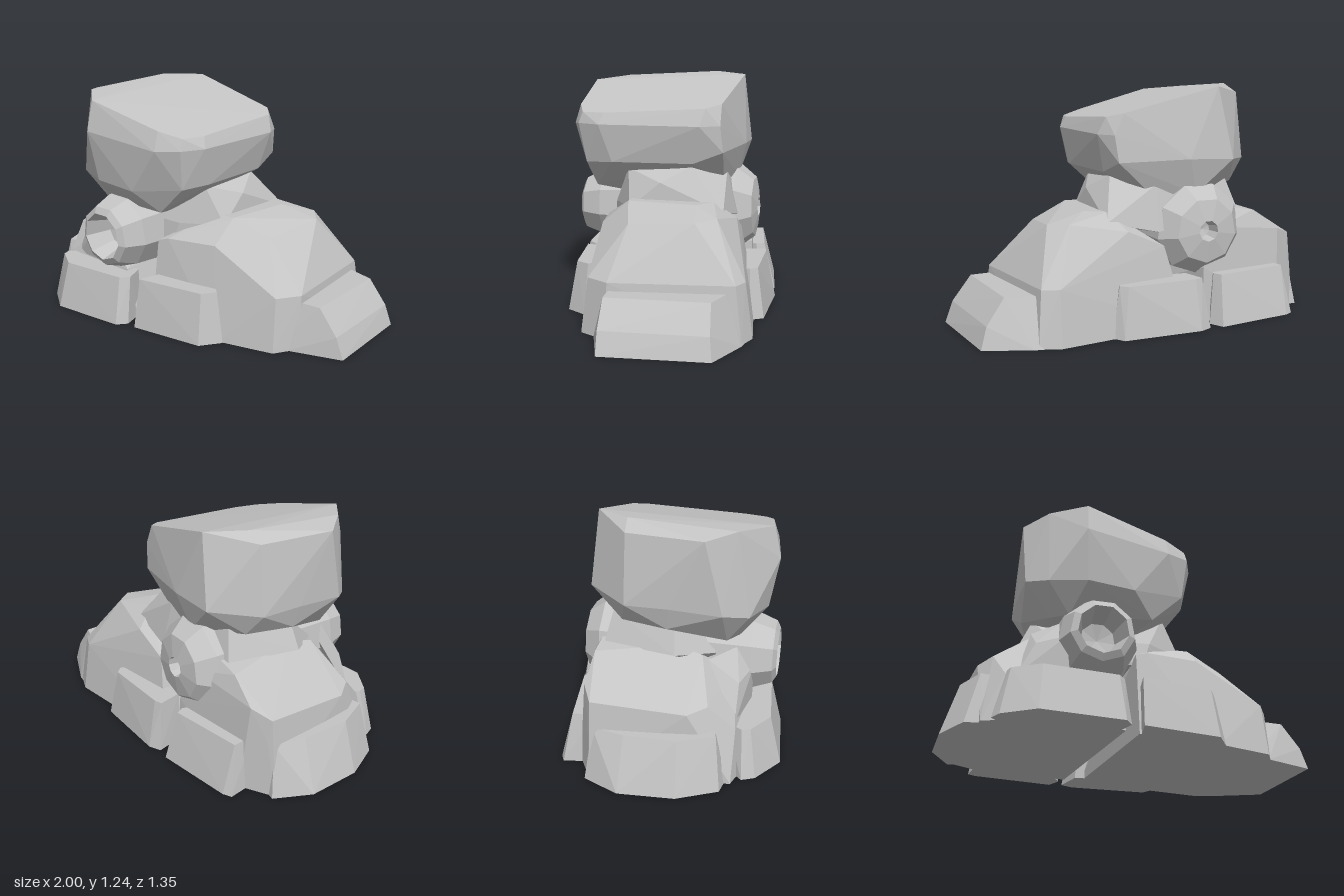
import * as THREE from 'three';
import { ConvexGeometry } from 'three/addons/geometries/ConvexGeometry.js';

const stone = new THREE.MeshStandardMaterial({ color: 0xc4c4c4 });
stone.name = 'greyStone';

// Faceted rock enclosing a handful of corner points
function rock(name, corners) {
  const mesh = new THREE.Mesh(new ConvexGeometry(corners.map(c => new THREE.Vector3(...c))), stone);
  mesh.name = name;
  return mesh;
}

// Chiselled block: a footprint on the ground and a smaller outline above, both as [x, z]
function block(name, foot, top, height) {
  return rock(name, [
    ...foot.map(([x, z]) => [x, 0.01, z]),
    ...top.map(([x, z]) => [x, height, z]),
  ]);
}

export function createModel() {
  const model = new THREE.Group();
  model.name = 'rockPile';

  // Large tilted boulder on top
  model.add(rock('topBoulder', [
    // sloping top
    [-0.52, 1.25, -0.12], [-0.42, 1.24, -0.32], [0.1, 1.11, -0.37], [0.18, 1.09, -0.31],
    [0.29, 1.06, 0.22], [0.28, 1.06, 0.35], [0.17, 1.09, 0.42],
    [-0.25, 1.2, 0.54], [-0.45, 1.22, 0.42], [-0.59, 1.2, 0.3], [-0.6, 1.2, -0.1],
    // waist
    [-0.64, 0.84, -0.1], [-0.61, 0.84, 0.12], [-0.56, 0.82, 0.38], [-0.44, 0.78, 0.48],
    [-0.25, 1.04, 0.575], [-0.24, 0.77, 0.52], [0.0, 0.75, 0.47], [0.18, 0.99, 0.45],
    [0.32, 1.0, 0.24], [0.29, 1.0, 0.37], [0.22, 1.0, -0.29], [0.15, 1.0, -0.38],
    [0.13, 0.86, -0.39], [-0.25, 0.87, -0.39], [-0.5, 0.86, -0.34],
    [0.28, 0.8, 0.18], [0.26, 0.79, 0.34], [0.18, 0.8, -0.24],
    // underside
    [-0.58, 0.72, 0.1], [-0.55, 0.72, -0.15], [-0.42, 0.63, 0.36], [-0.33, 0.63, 0.4],
    [0.02, 0.61, 0.26], [0.1, 0.64, 0.36], [-0.3, 0.68, -0.33], [-0.05, 0.69, -0.33],
  ]));

  // Squat rock carrying the boulder
  model.add(rock('neckRock', [
    [-0.52, 0.72, 0.12], [-0.5, 0.74, -0.22], [-0.08, 0.74, -0.34], [0.14, 0.78, -0.22],
    [0.18, 0.76, 0.13], [0.24, 0.7, -0.08], [-0.58, 0.58, 0.14], [-0.56, 0.58, -0.25],
    [-0.08, 0.5, -0.4], [0.2, 0.56, -0.42], [0.28, 0.56, 0.08], [0.1, 0.56, 0.24],
    [0.06, 0.42, 0.27], [-0.3, 0.42, 0.28], [-0.42, 0.55, 0.3],
  ]));

  // Right half of the base
  model.add(rock('rightBaseRock', [
    [0.18, 0.61, -0.36], [0.2, 0.61, 0.08], [0.33, 0.61, 0.06], [0.3, 0.61, -0.31],
    [0.4, 0.57, -0.46], [0.5, 0.56, -0.38], [0.52, 0.53, -0.03], [0.35, 0.49, 0.2],
    [0.02, 0.46, 0.32], [0.08, 0.48, 0.3], [-0.1, 0.43, -0.42], [0.1, 0.52, -0.46],
    [0.76, 0.29, -0.03], [0.71, 0.29, 0.1], [0.57, 0.29, -0.62], [0.48, 0.29, -0.64],
    [0.78, 0.01, -0.02], [0.73, 0.01, 0.13], [0.45, 0.01, 0.26], [0.03, 0.01, 0.38],
    [-0.22, 0.01, -0.46], [0.17, 0.01, -0.56], [0.48, 0.01, -0.68], [0.59, 0.01, -0.66],
  ]));

  // Left half of the base
  model.add(rock('leftBaseRock', [
    [-0.89, 0.42, -0.18], [-0.88, 0.3, -0.2], [-0.8, 0.46, -0.25], [-0.7, 0.4, 0.36],
    [-0.78, 0.38, 0.28], [-0.65, 0.57, -0.26], [-0.5, 0.6, 0.12], [-0.48, 0.6, -0.28],
    [-0.5, 0.57, 0.26], [-0.36, 0.45, 0.38], [-0.42, 0.5, -0.36], [-0.63, 0.26, 0.48],
    [-0.14, 0.27, 0.42], [-0.32, 0.3, -0.41],
    [-0.73, 0.01, 0.49], [-0.5, 0.01, 0.52], [-0.04, 0.01, 0.42],
    [-0.31, 0.01, -0.42], [-0.78, 0.01, -0.3], [-0.93, 0.01, -0.18],
  ]));

  // Small broken rock beside the hollow stone's front end
  model.add(rock('wedgeRock', [
    [-0.52, 0.56, 0.3], [-0.37, 0.58, 0.4], [-0.49, 0.44, 0.45], [-0.34, 0.47, 0.48],
    [-0.32, 0.28, 0.47], [-0.58, 0.26, 0.46],
  ]));

  // Blocks around the foot
  model.add(rock('rightEndBlock', [
    [0.56, 0.25, -0.58], [0.74, 0.25, -0.56], [0.86, 0.25, -0.06], [0.74, 0.25, -0.03],
    [0.83, 0.12, -0.59], [0.96, 0.12, -0.08], [0.76, 0.13, 0.01],
    [0.56, 0.01, -0.665], [0.61, 0.01, -0.665], [0.86, 0.01, -0.61], [1, 0.01, -0.09], [0.75, 0.01, 0.05],
  ]));
  model.add(block('leftEndBlock',
    [[-0.94, -0.2], [-1, 0], [-0.94, 0.28], [-0.81, 0.46], [-0.7, 0.46], [-0.8, -0.2]],
    [[-0.89, -0.17], [-0.9, 0], [-0.86, 0.26], [-0.75, 0.42], [-0.7, 0.4], [-0.8, -0.15]], 0.28));
  model.add(block('frontLeftBlock',
    [[-0.68, 0.53], [-0.64, 0.59], [-0.46, 0.67], [-0.05, 0.56], [-0.02, 0.5], [-0.1, 0.36], [-0.6, 0.42]],
    [[-0.62, 0.51], [-0.6, 0.55], [-0.45, 0.61], [-0.08, 0.51], [-0.05, 0.46], [-0.12, 0.36], [-0.58, 0.42]], 0.26));
  model.add(block('frontRightBlock',
    [[0.04, 0.5], [0.43, 0.37], [0.48, 0.25], [0.35, 0.2], [0.04, 0.3]],
    [[0.04, 0.46], [0.4, 0.33], [0.43, 0.25], [0.35, 0.2], [0.04, 0.3]], 0.275));
  model.add(block('backLeftBlock',
    [[-0.84, -0.37], [-0.8, -0.4], [-0.39, -0.53], [-0.34, -0.46], [-0.4, -0.3], [-0.78, -0.2]],
    [[-0.79, -0.33], [-0.4, -0.46], [-0.37, -0.42], [-0.4, -0.3], [-0.76, -0.22]], 0.27));
  model.add(block('backRightBlock',
    [[-0.32, -0.53], [-0.26, -0.57], [0.16, -0.635], [0.21, -0.58], [0.15, -0.4], [-0.25, -0.38]],
    [[-0.28, -0.5], [-0.24, -0.52], [0.13, -0.59], [0.17, -0.56], [0.15, -0.4], [-0.23, -0.38]], 0.27));

  // Hollow-ended round stone lying in the gap between the halves, thicker at the back
  const profile = [
    [0, -0.42], [0.04, -0.43], [0.055, -0.5], [0.17, -0.48], [0.245, -0.39],
    [0.24, -0.2], [0.205, 0.39], [0.165, 0.5], [0.13, 0.52], [0.09, 0.38], [0, 0.36],
  ].map(p => new THREE.Vector2(...p));
  const stoneGeometry = new THREE.LatheGeometry(profile, 9).toNonIndexed();
  stoneGeometry.computeVertexNormals();
  stoneGeometry.rotateX(Math.PI / 2);
  const roundStone = new THREE.Mesh(stoneGeometry, stone);
  roundStone.name = 'hollowRoundStone';
  roundStone.position.set(-0.25, 0.49, 0.05);
  roundStone.rotation.set(0.02, 0.17, 0);
  model.add(roundStone);

  return model;
}
